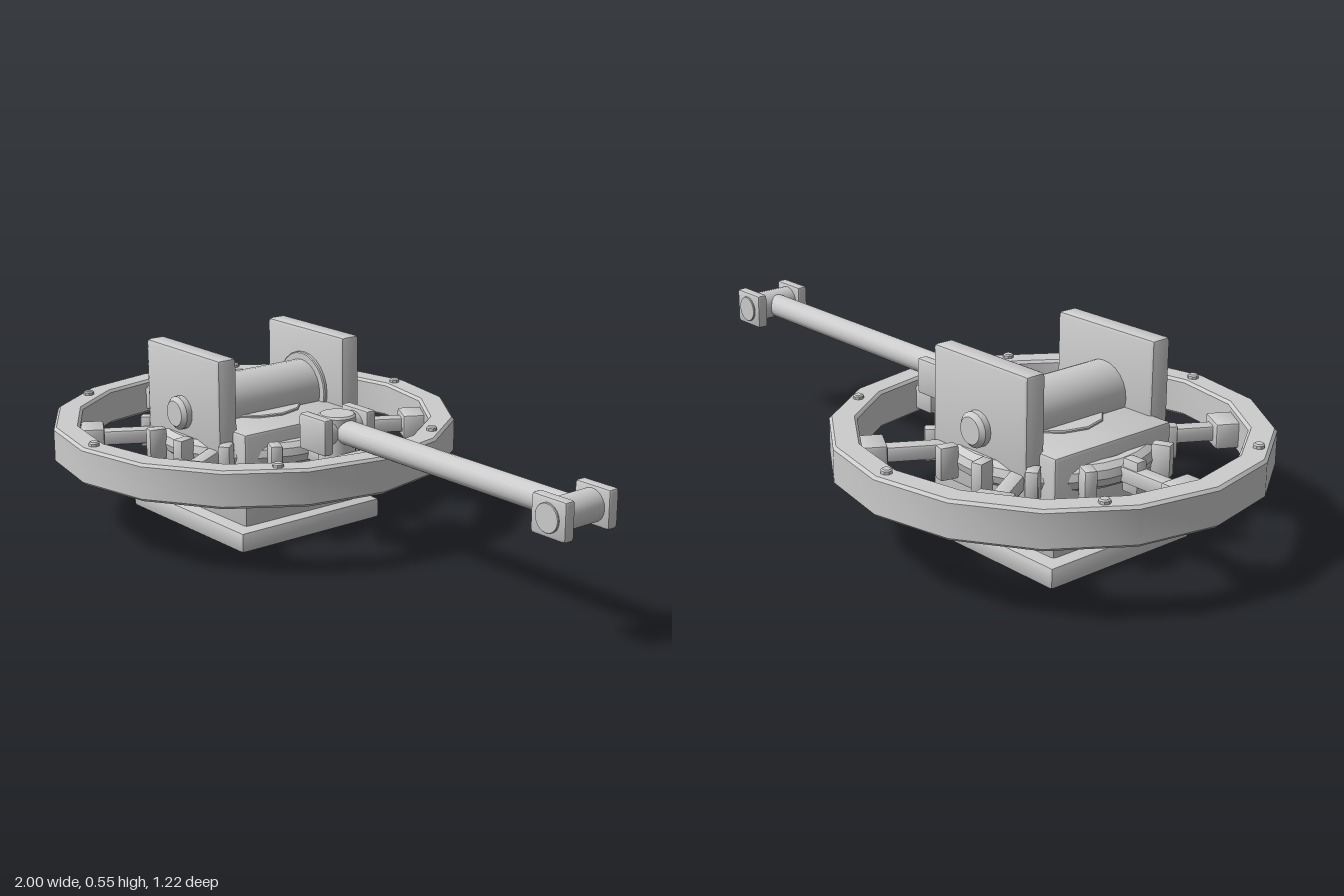
import * as THREE from 'three';
import { RoundedBoxGeometry } from 'three/addons/geometries/RoundedBoxGeometry.js';
import { toCreasedNormals } from 'three/addons/utils/BufferGeometryUtils.js';

const steel = new THREE.MeshStandardMaterial({ color: 0xcccccc });
steel.name = 'pale grey';

function add(parent, name, geometry, x = 0, y = 0, z = 0) {
  const mesh = new THREE.Mesh(toCreasedNormals(geometry, 0.58), steel);
  mesh.name = name;
  mesh.position.set(x, y, z);
  parent.add(mesh);
  return mesh;
}

// box with chamfered edges
const box = (w, h, d, bevel = 0.008) => new RoundedBoxGeometry(w, h, d, 1, bevel);

// cylinder with chamfered ends, along y
function rod(r, length, sides = 20, bevel = 0.006) {
  const h = length / 2;
  const profile = [[0, -h], [r - bevel, -h], [r, -h + bevel], [r, h - bevel], [r - bevel, h], [0, h]];
  return new THREE.LatheGeometry(profile.map(([a, b]) => new THREE.Vector2(a, b)), sides);
}
const rodZ = (...args) => rod(...args).rotateX(Math.PI / 2);
const rodX = (...args) => rod(...args).rotateZ(-Math.PI / 2);

// pair of square cheeks joined by a pin
function yoke(name, x, withPin) {
  const g = new THREE.Group();
  g.name = name;
  g.position.set(x, 0.355, 0);
  for (const s of [-1, 1]) {
    add(g, 'yokeCheek', box(0.12, 0.108, 0.036, 0.01), 0, 0, s * 0.078);
    if (withPin) add(g, 'yokePinCap', rodZ(0.04, 0.01, 20, 0.002), 0, 0, s * 0.096);
  }
  add(g, 'yokePin', rodZ(0.045, 0.15), 0, 0, 0);
  return g;
}

export function createModel() {
  const model = new THREE.Group();
  model.name = 'crankMechanism';

  // wheel and pedestal share one vertical axis
  const hub = new THREE.Group();
  hub.name = 'pedestalAndWheel';
  hub.position.x = -0.39;
  model.add(hub);

  add(hub, 'basePlate', box(0.575, 0.062, 0.52, 0.01), 0, 0.031, 0);
  add(hub, 'column', box(0.49, 0.29, 0.43, 0.012), 0, 0.195, 0);
  add(hub, 'topDisc', rod(0.145, 0.02, 12, 0.003), 0, 0.337, 0);

  // drum between two upright plates
  for (const s of [-1, 1]) {
    add(hub, 'uprightPlate', box(0.372, 0.375, 0.066, 0.012), 0, 0.367, s * 0.229);
    add(hub, 'axleCap', rodZ(0.05, 0.06, 20, 0.012), 0, 0.365, s * 0.262);
  }
  add(hub, 'drum', rodZ(0.09, 0.41, 24), 0, 0.365, 0);
  add(hub, 'drumFlange', rodZ(0.113, 0.02, 24, 0.003), 0, 0.365, -0.195);

  // sixteen-sided rim
  const rim = [
    [0.54, 0.21], [0.602, 0.21], [0.61, 0.218], [0.61, 0.312], [0.602, 0.32],
    [0.54, 0.32], [0.532, 0.312], [0.532, 0.218], [0.54, 0.21],
  ].map(([r, y]) => new THREE.Vector2(r, y));
  add(hub, 'rim', new THREE.LatheGeometry(rim, 16));

  // collar around the column, with pegs
  add(hub, 'collar', new THREE.TorusGeometry(0.262, 0.037, 10, 28).rotateX(Math.PI / 2), 0, 0.262, 0);
  for (let i = 0; i < 14; i++) {
    const arm = new THREE.Group();
    arm.name = 'pegMount';
    arm.rotation.y = (i / 14) * Math.PI * 2;
    add(arm, 'peg', box(0.055, 0.095, 0.036, 0.006), 0.318, 0.262, 0);
    hub.add(arm);
  }

  // six spokes with end blocks, and bolts halfway between them
  for (let i = 0; i < 6; i++) {
    const arm = new THREE.Group();
    arm.name = 'spokeArm';
    arm.rotation.y = (i / 6) * Math.PI * 2;
    add(arm, 'spoke', box(0.27, 0.045, 0.046, 0.008), 0.375, 0.262, 0);
    add(arm, 'spokeBlock', box(0.08, 0.075, 0.1, 0.008), 0.495, 0.262, 0);
    const a = Math.PI / 6;
    add(arm, 'rimBolt', rod(0.016, 0.02, 8, 0.004), 0.568 * Math.cos(a), 0.322, 0.568 * Math.sin(a));
    hub.add(arm);
  }

  // connecting rod with a yoke at each end
  add(model, 'crankPost', rod(0.055, 0.2), 0.01, 0.302, 0);
  model.add(yoke('crankYoke', 0.012, false));
  add(model, 'connectingRod', rodX(0.036, 0.92), 0.475, 0.355, 0);
  model.add(yoke('endYoke', 0.938, true));

  return model;
}
